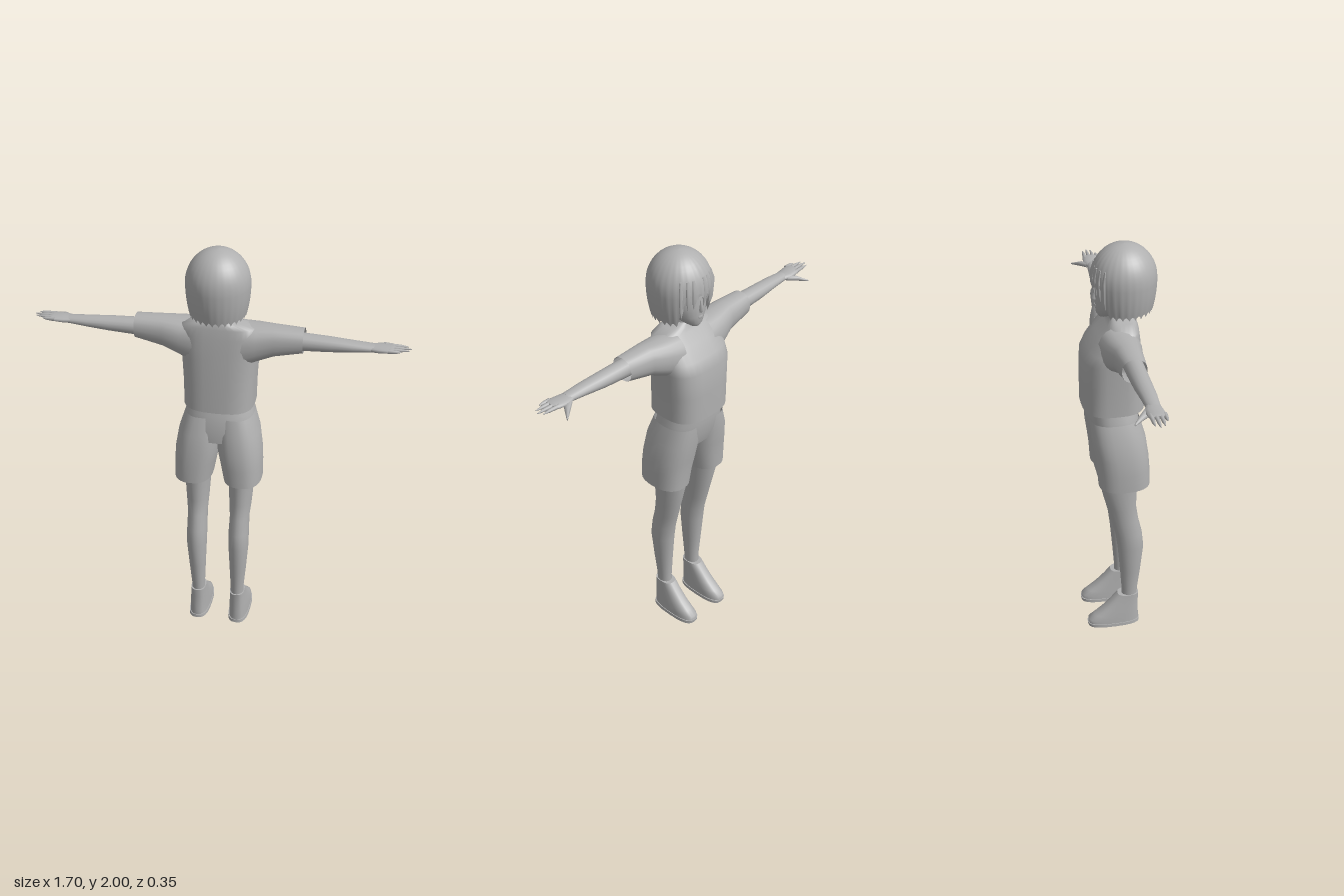
import * as THREE from 'three';

const clay = new THREE.MeshStandardMaterial({ color: 0xb0b0b0, side: THREE.DoubleSide });
clay.name = 'clayGrey';

// Skin rings [pos, a0, a1, b0, b1] along an axis, listed in ascending order.
// Axis y: a = x, b = z. Axis x: a = z, b = y. Larger power = boxier section.
function loft(axis, rings, { power = 2, seg = 20, caps = true } = {}) {
  const pos = [], idx = [];
  const put = (p, a, b) => (axis === 'y' ? pos.push(a, p, b) : pos.push(p, b, a));
  const round = (c) => Math.sign(c) * Math.pow(Math.abs(c), 2 / power);
  const ring = ([p, a0, a1, b0, b1]) => {
    for (let j = 0; j < seg; j++) {
      const t = (j / seg) * Math.PI * 2;
      put(p, (a0 + a1) / 2 + (round(Math.cos(t)) * (a1 - a0)) / 2,
        (b0 + b1) / 2 + (round(Math.sin(t)) * (b1 - b0)) / 2);
    }
  };
  rings.forEach(ring);
  for (let i = 0; i < rings.length - 1; i++) {
    for (let j = 0; j < seg; j++) {
      const k = (j + 1) % seg, A = i * seg, B = A + seg;
      idx.push(A + j, B + j, A + k, A + k, B + j, B + k);
    }
  }
  if (caps) {
    [rings[0], rings[rings.length - 1]].forEach((r, end) => {
      const start = pos.length / 3;
      ring(r);
      put(r[0], (r[1] + r[2]) / 2, (r[3] + r[4]) / 2);
      for (let j = 0; j < seg; j++) {
        const k = (j + 1) % seg;
        idx.push(start + seg, start + (end ? k : j), start + (end ? j : k));
      }
    });
  }
  return finish(pos, idx);
}

function finish(pos, idx) {
  const g = new THREE.BufferGeometry();
  g.setAttribute('position', new THREE.Float32BufferAttribute(pos, 3));
  g.setIndex(idx);
  g.computeVertexNormals();
  return g;
}

// Mirror a geometry across x and restore its winding
function mirrored(geo) {
  const g = geo.clone().scale(-1, 1, 1), ix = g.index;
  for (let i = 0; i < ix.count; i += 3) {
    const t = ix.getX(i);
    ix.setX(i, ix.getX(i + 1));
    ix.setX(i + 1, t);
  }
  g.computeVertexNormals();
  return g;
}

// Bob hair: domed crown, straight sides, hem lifted over the face (face looks to -z)
function hairGeometry() {
  const seg = 112, rows = 22, pos = [], idx = [];
  for (let i = 0; i <= rows; i++) {
    const t = i / rows;
    for (let j = 0; j <= seg; j++) {
      const a = ((j % seg) / seg) * Math.PI * 2;
      const fromFront = Math.abs(Math.atan2(Math.cos(a), -Math.sin(a)));
      const open = 1 - THREE.MathUtils.smoothstep(fromFront, 0.6, 0.9);
      const hem = 1.685 + 0.13 * open + 0.02 * Math.abs(Math.sin(a * 14));
      let y, r;
      if (t < 0.5) {
        y = 1.845 + 0.155 * Math.cos(t * Math.PI);
        r = Math.sin(t * Math.PI);
      } else {
        y = THREE.MathUtils.lerp(1.845, hem, (t - 0.5) * 2);
        r = 1 - 0.14 * Math.pow((1.845 - y) / 0.155, 2);
      }
      // Strand ridges, strongest around the fringe
      r *= 1 + (0.004 + 0.016 * Math.max(0, 1 - fromFront / 2)) * Math.sin(a * 28) * t;
      pos.push(Math.cos(a) * r * 0.143, y, 0.03 + Math.sin(a) * r * 0.145);
    }
  }
  const w = seg + 1;
  for (let i = 0; i < rows; i++) {
    for (let j = 0; j < seg; j++) {
      const A = i * w + j, B = A + w;
      idx.push(A, A + 1, B, A + 1, B + 1, B);
    }
  }
  return finish(pos, idx);
}

export function createModel() {
  const model = new THREE.Group();
  model.name = 'figure';
  const add = (name, geo) => {
    const m = new THREE.Mesh(geo, clay);
    m.name = name;
    model.add(m);
    return m;
  };
  const pair = (name, geo) => {
    add(name + 'Left', geo);
    add(name + 'Right', mirrored(geo));
  };

  // Head and neck
  add('head', loft('y', [
    [1.668, -0.022, 0.022, -0.085, -0.035], [1.685, -0.045, 0.045, -0.095, 0.02],
    [1.72, -0.075, 0.075, -0.1, 0.07], [1.77, -0.094, 0.094, -0.1, 0.11],
    [1.83, -0.105, 0.105, -0.096, 0.13], [1.9, -0.1, 0.1, -0.085, 0.13],
    [1.96, -0.06, 0.06, -0.04, 0.09]], { seg: 28 }));
  add('nose', loft('y', [
    [1.742, -0.008, 0.008, -0.104, -0.09], [1.755, -0.011, 0.011, -0.116, -0.085],
    [1.80, -0.004, 0.004, -0.101, -0.085]], { seg: 8 }));
  add('mouth', loft('y', [
    [1.712, -0.012, 0.012, -0.101, -0.09], [1.718, -0.018, 0.018, -0.105, -0.085],
    [1.726, -0.012, 0.012, -0.102, -0.09]], { seg: 10 }));
  add('neck', loft('y', [
    [1.58, -0.06, 0.06, -0.04, 0.07], [1.65, -0.043, 0.043, -0.035, 0.06],
    [1.73, -0.042, 0.042, -0.04, 0.055]]));

  // Hair with loose locks across the forehead
  add('hair', hairGeometry());
  [-0.72, -0.5, -0.28, -0.1, 0.32, 0.52, 0.74].forEach((ang, i) => {
    const at = (y, w, r) => {
      const x = Math.sin(ang) * r, z = 0.03 - Math.cos(ang) * r;
      return [y, x - w, x + w, z - w * 0.5, z + w * 0.5];
    };
    const tip = 1.775 + (i % 3) * 0.012 - Math.abs(ang) * 0.06;
    add('fringeLock', loft('y', [at(tip, 0.001, 0.132), at(tip + 0.04, 0.011, 0.138),
      at(1.86, 0.015, 0.142), at(1.91, 0.008, 0.131)], { seg: 8 }));
  });

  // Loose shirt
  add('shirt', loft('y', [
    [1.23, -0.162, 0.162, -0.17, 0.115], [1.36, -0.165, 0.165, -0.17, 0.11],
    [1.48, -0.173, 0.173, -0.166, 0.1], [1.53, -0.175, 0.175, -0.14, 0.096],
    [1.59, -0.172, 0.172, -0.092, 0.09], [1.635, -0.165, 0.165, -0.055, 0.083],
    [1.655, -0.09, 0.09, -0.042, 0.078], [1.672, -0.045, 0.045, -0.036, 0.07]],
  { power: 2.9, seg: 32, caps: false }));
  pair('sleeve', loft('x', [
    [0.09, -0.105, 0.085, 1.42, 1.645], [0.17, -0.095, 0.08, 1.465, 1.643],
    [0.25, -0.068, 0.066, 1.5, 1.645], [0.38, -0.054, 0.056, 1.53, 1.64]],
  { power: 2.3, caps: false }));

  // Arms and hands
  pair('arm', loft('x', [
    [0.2, -0.04, 0.05, 1.535, 1.625], [0.38, -0.035, 0.05, 1.542, 1.622],
    [0.5, -0.03, 0.05, 1.55, 1.618], [0.6, -0.022, 0.05, 1.562, 1.612],
    [0.69, -0.016, 0.044, 1.572, 1.606]], { seg: 16 }));
  pair('palm', loft('x', [
    [0.67, -0.016, 0.044, 1.573, 1.605], [0.71, -0.028, 0.05, 1.572, 1.606],
    [0.76, -0.025, 0.055, 1.58, 1.606], [0.775, -0.02, 0.052, 1.587, 1.602]], { seg: 14 }));
  [[-0.012, 0.835], [0.008, 0.85], [0.028, 0.84], [0.046, 0.806]].forEach(([z, tip]) => {
    pair('finger', loft('x', [
      [0.75, z - 0.01, z + 0.01, 1.584, 1.604], [(tip + 0.77) / 2, z - 0.008, z + 0.008, 1.588, 1.603],
      [tip, z - 0.002, z + 0.002, 1.594, 1.598]], { seg: 8 }));
  });
  pair('thumb', loft('x', [
    [0.685, -0.022, 0.02, 1.573, 1.6], [0.73, -0.056, -0.016, 1.566, 1.592],
    [0.768, -0.082, -0.074, 1.562, 1.57]], { seg: 8 }));

  // Wide shorts: two open legs meeting under a waist
  add('shortsWaist', loft('y', [
    [1.06, -0.165, 0.165, -0.12, 0.1], [1.12, -0.172, 0.172, -0.14, 0.1],
    [1.19, -0.158, 0.158, -0.147, 0.085], [1.245, -0.145, 0.145, -0.147, 0.066]],
  { power: 2.4, seg: 32 }));
  pair('shortsLeg', loft('y', [
    [0.843, 0.028, 0.206, -0.11, 0.128], [0.93, 0.012, 0.206, -0.116, 0.128],
    [1.0, -0.004, 0.202, -0.125, 0.124], [1.09, -0.012, 0.188, -0.138, 0.112],
    [1.18, -0.02, 0.16, -0.14, 0.086]], { power: 2.4, seg: 28, caps: false }));

  // Legs
  pair('leg', loft('y', [
    [0.12, 0.066, 0.13, 0.0, 0.078], [0.2, 0.066, 0.13, 0.003, 0.08],
    [0.32, 0.061, 0.141, -0.006, 0.094], [0.46, 0.055, 0.152, -0.018, 0.108],
    [0.54, 0.054, 0.151, -0.028, 0.1], [0.62, 0.056, 0.15, -0.048, 0.082],
    [0.7, 0.05, 0.158, -0.066, 0.07], [0.84, 0.042, 0.168, -0.1, 0.076],
    [1.0, 0.03, 0.175, -0.105, 0.085]]));

  // Shoes with a raised ankle and a thin sole
  pair('shoe', loft('y', [
    [0.012, 0.052, 0.148, -0.166, 0.086], [0.035, 0.053, 0.147, -0.166, 0.086],
    [0.058, 0.055, 0.145, -0.135, 0.085], [0.09, 0.057, 0.142, -0.095, 0.084],
    [0.13, 0.06, 0.137, -0.055, 0.084], [0.172, 0.062, 0.134, -0.018, 0.086]],
  { power: 2.6, seg: 24 }));
  pair('sole', loft('y', [
    [0, 0.048, 0.152, -0.168, 0.09], [0.016, 0.049, 0.151, -0.17, 0.089]],
  { power: 2.8, seg: 24 }));
  return model;
}
